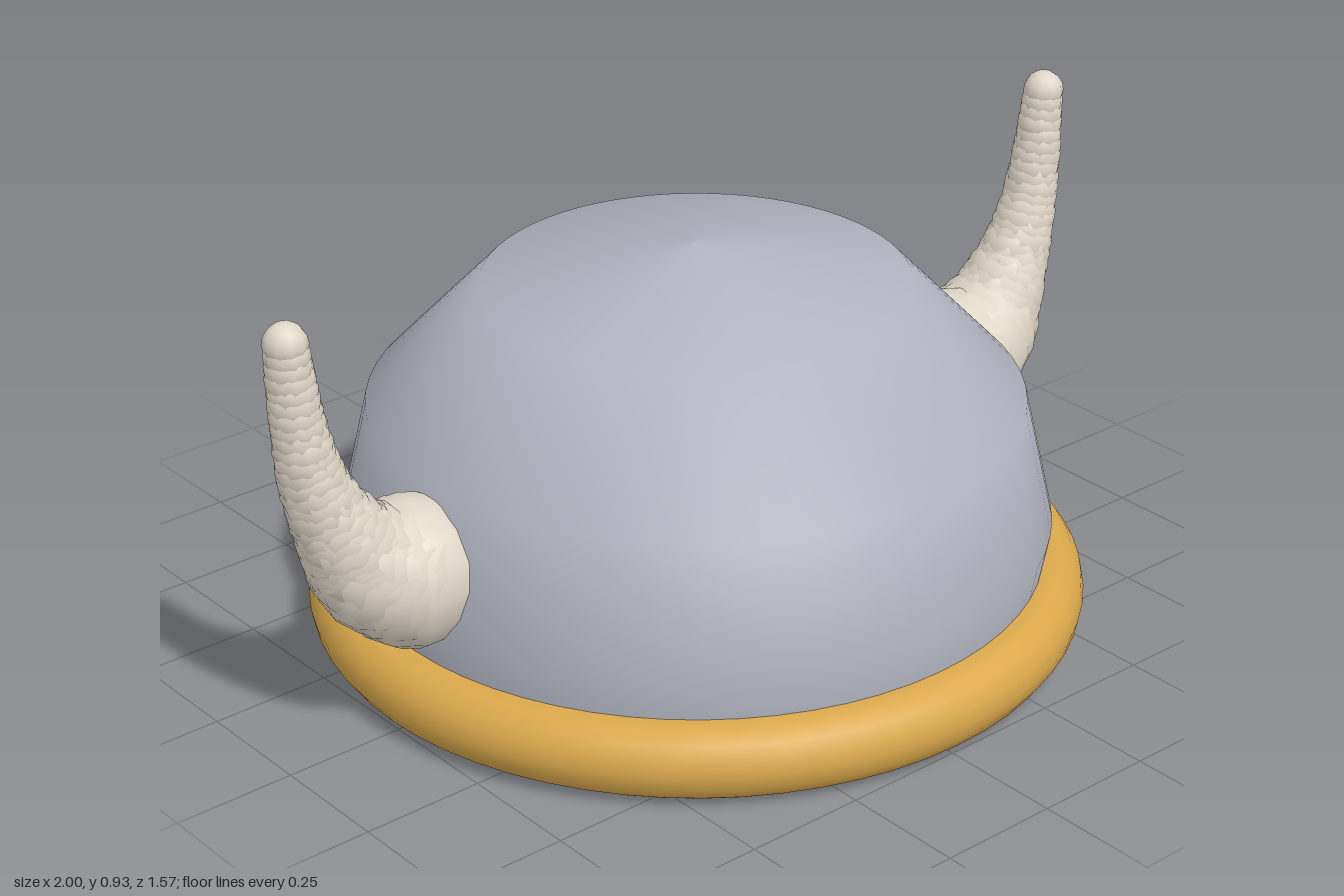
import * as THREE from 'three';

const paint = (color, side = THREE.FrontSide) => new THREE.MeshStandardMaterial({ color, side });
const v2 = (p) => new THREE.Vector2(p[0], p[1]);

// Horn: a chain of overlapping, shrinking low-poly balls along an upswept curve
function makeHorn(material, side) {
  const horn = new THREE.Group();
  horn.name = side > 0 ? 'leftHorn' : 'rightHorn';
  const path = new THREE.CatmullRomCurve3(
    [[0.71, 0.335], [0.79, 0.375], [0.865, 0.48], [0.915, 0.6], [0.94, 0.73], [0.955, 0.882]]
      .map(([x, y]) => new THREE.Vector3(x * side, y, 0)));
  const radii = new THREE.SplineCurve(
    [[0, 0.15], [0.13, 0.127], [0.32, 0.092], [0.52, 0.068], [0.75, 0.054], [1, 0.043]].map(v2));
  const ball = new THREE.SphereGeometry(1, 10, 8);
  const count = 28;
  for (let i = 0; i < count; i++) {
    const t = i / (count - 1);
    // Radius at this length along the horn
    const samples = radii.getPoints(60);
    const k = samples.findIndex((p) => p.x >= t - 1e-6);
    const r = samples[k < 0 ? 60 : k].y;
    const segment = new THREE.Mesh(ball, material);
    segment.name = 'hornSegment';
    segment.position.copy(path.getPointAt(t));
    segment.scale.setScalar(r);
    // Turned a little differently each time for a rough, scaly surface
    if (i < count - 1) segment.rotation.set(i * 1.3, i * 2.1 * side, i * 0.7 * side);
    horn.add(segment);
  }
  return horn;
}

export function createModel() {
  const model = new THREE.Group();
  model.name = 'hornedHelmet';

  // Open dome with a few broad rings
  const profile = [[0.69, 0.08], [0.715, 0.23], [0.655, 0.49], [0.425, 0.73], [0, 0.81]].map(v2);
  const dome = new THREE.Mesh(new THREE.LatheGeometry(profile, 64), paint(0xb0b3be, THREE.DoubleSide));
  dome.name = 'dome';

  // Rounded brim
  const brim = new THREE.Mesh(new THREE.TorusGeometry(0.707, 0.078, 16, 64), paint(0xdaa84c));
  brim.name = 'brim';
  brim.rotation.x = Math.PI / 2;
  brim.position.y = 0.078;

  const hornMaterial = paint(0xdfd7c7);
  model.add(dome, brim, makeHorn(hornMaterial, 1), makeHorn(hornMaterial, -1));
  return model;
}
